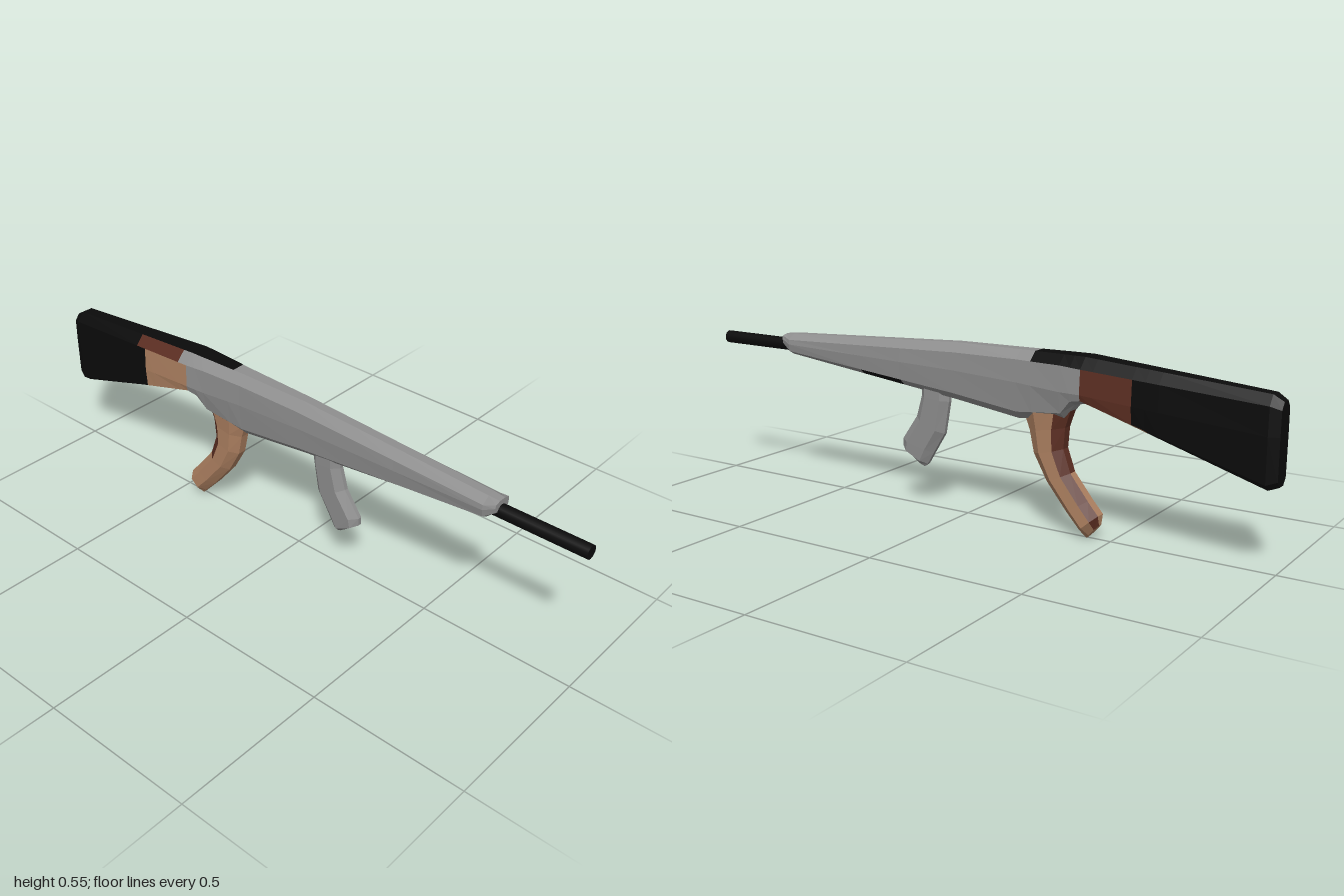
import * as THREE from 'three';

const palette = [
  ['gunmetalGrey', 0x8e8e8e],
  ['black', 0x0b0b0b],
  ['darkBrown', 0x5c2e22],
  ['tan', 0xae8161],
];
const GREY = 0, BLACK = 1, DARK = 2, TAN = 3;

// Faceted skin over rings of points with both ends capped; colourOf(side, z, y) picks a material
function loft(name, rings, colourOf, materials) {
  const buckets = materials.map(() => []);
  const n = rings[0].length;
  const tri = (m, ...pts) => pts.forEach((p) => buckets[m].push(...p));
  for (let i = 0; i < rings.length - 1; i++) {
    for (let j = 0; j < n; j++) {
      const k = (j + 1) % n;
      const a = rings[i][j], b = rings[i][k], c = rings[i + 1][k], d = rings[i + 1][j];
      const m = colourOf(j, (a[2] + c[2]) / 2, (a[1] + c[1]) / 2);
      tri(m, a, b, c);
      tri(m, a, c, d);
    }
  }
  const first = rings[0], last = rings[rings.length - 1];
  const m0 = colourOf(3, first[0][2], first[0][1]);
  const m1 = colourOf(3, last[0][2], last[0][1]);
  for (let j = 1; j < n - 1; j++) {
    tri(m0, first[0], first[j + 1], first[j]);
    tri(m1, last[0], last[j], last[j + 1]);
  }
  const geometry = new THREE.BufferGeometry();
  geometry.setAttribute('position', new THREE.Float32BufferAttribute(buckets.flat(), 3));
  let start = 0;
  buckets.forEach((b, m) => {
    if (b.length) geometry.addGroup(start, b.length / 3, m);
    start += b.length / 3;
  });
  geometry.computeVertexNormals();
  const mesh = new THREE.Mesh(geometry, materials);
  mesh.name = name;
  return mesh;
}

// Adds sections at the colour boundaries by blending the neighbouring ones
function addCuts(rows, cuts) {
  const extra = cuts.map((z) => {
    const i = rows.findIndex((row) => row[0] < z);
    const a = rows[i - 1], b = rows[i];
    const t = (z - a[0]) / (b[0] - a[0]);
    return a.map((v, k) => v + (b[k] - v) * t);
  });
  return [...rows, ...extra].sort((a, b) => b[0] - a[0]);
}

// Ten-sided body section: five heights, then five half widths, from top to bottom
function bodyRing([z, ...v]) {
  const right = v.slice(0, 5).map((y, i) => [v[i + 5], y, z]);
  const left = right.map(([x, y]) => [-x, y, z]);
  return [left[0], ...right, ...left.slice(1).reverse()];
}

// Eight-sided grip section between a front and a back point
function gripRing([fz, fy, bz, by, w], edge, inset) {
  const at = (x, t) => [x, fy + (by - fy) * t, fz + (bz - fz) * t];
  const e = w * edge;
  return [at(-e, 1), at(e, 1), at(w, 1 - inset), at(w, inset),
    at(e, 0), at(-e, 0), at(-w, inset), at(-w, 1 - inset)];
}

function bodyColour(j, z) {
  const band = (from, to, colour) => (z > from ? GREY : z > to ? colour : BLACK);
  if (j <= 1) return z < -0.25 ? BLACK : GREY;            // top and one shoulder
  if (j === 9) return band(-0.46, -0.66, DARK);           // other shoulder
  if (j <= 3) return band(-0.42, -0.58, DARK);
  if (j <= 5 && z > 0.23 && z < 0.39) return BLACK;       // patch under the fore end
  return band(-0.42, -0.62, TAN);
}

function gripColour(j, z, y) {
  if (j === 1) return DARK;
  if ((j === 0 || j === 7) && y > 0.16) return DARK;
  return TAN;
}

export function createModel() {
  const group = new THREE.Group();
  group.name = 'rifle';
  const materials = palette.map(([name, color]) => {
    const m = new THREE.MeshStandardMaterial({ color });
    m.name = name;
    return m;
  });

  // Body and stock: z, five heights, five half widths
  const body = addCuts([
    [0.725, 0.505, 0.5, 0.49, 0.475, 0.47, 0.012, 0.03, 0.033, 0.03, 0.012],
    [0.69, 0.508, 0.49, 0.475, 0.452, 0.44, 0.014, 0.04, 0.042, 0.038, 0.016],
    [0.03, 0.542, 0.515, 0.46, 0.388, 0.366, 0.015, 0.043, 0.046, 0.04, 0.02],
    [-0.2, 0.544, 0.518, 0.45, 0.36, 0.336, 0.02, 0.049, 0.052, 0.043, 0.022],
    [-0.35, 0.545, 0.517, 0.44, 0.375, 0.355, 0.027, 0.057, 0.06, 0.047, 0.022],
    [-0.385, 0.545, 0.515, 0.44, 0.415, 0.4, 0.029, 0.059, 0.063, 0.056, 0.022],
    [-0.42, 0.545, 0.513, 0.44, 0.422, 0.407, 0.03, 0.061, 0.065, 0.06, 0.022],
    [-0.97, 0.501, 0.472, 0.39, 0.257, 0.238, 0.019, 0.042, 0.043, 0.041, 0.018],
    [-1, 0.483, 0.462, 0.39, 0.268, 0.25, 0.014, 0.03, 0.031, 0.03, 0.014],
  ], [0.39, 0.23, -0.25, -0.46, -0.58, -0.62, -0.66]);
  group.add(loft('bodyAndStock', body.map(bodyRing), bodyColour, materials));

  // Rear grip: front z, y, back z, y, half width
  const rearGrip = [
    [-0.21, 0.36, -0.375, 0.4, 0.044],
    [-0.23, 0.305, -0.35, 0.325, 0.038],
    [-0.245, 0.235, -0.345, 0.26, 0.036],
    [-0.29, 0.155, -0.37, 0.19, 0.036],
    [-0.36, 0.07, -0.43, 0.115, 0.038],
    [-0.405, 0.022, -0.465, 0.075, 0.04],
    [-0.425, 0, -0.465, 0.045, 0.018],
  ];
  group.add(loft('rearGrip', rearGrip.map((s) => gripRing(s, 0.4, 0.28)), gripColour, materials));

  // Forward grip
  const frontGrip = [
    [0.17, 0.41, 0.07, 0.41, 0.027],
    [0.17, 0.36, 0.067, 0.35, 0.027],
    [0.19, 0.29, 0.085, 0.245, 0.026],
    [0.245, 0.21, 0.125, 0.18, 0.025],
    [0.245, 0.185, 0.15, 0.138, 0.024],
    [0.225, 0.17, 0.165, 0.127, 0.01],
  ];
  group.add(loft('frontGrip', frontGrip.map((s) => gripRing(s, 0.25, 0.22)), () => GREY, materials));

  // Barrel
  const barrel = new THREE.Mesh(new THREE.CylinderGeometry(0.021, 0.021, 0.32, 16), materials[BLACK]);
  barrel.rotation.x = Math.PI / 2;
  barrel.position.set(0, 0.468, 0.84);
  barrel.name = 'barrel';
  group.add(barrel);

  return group;
}
